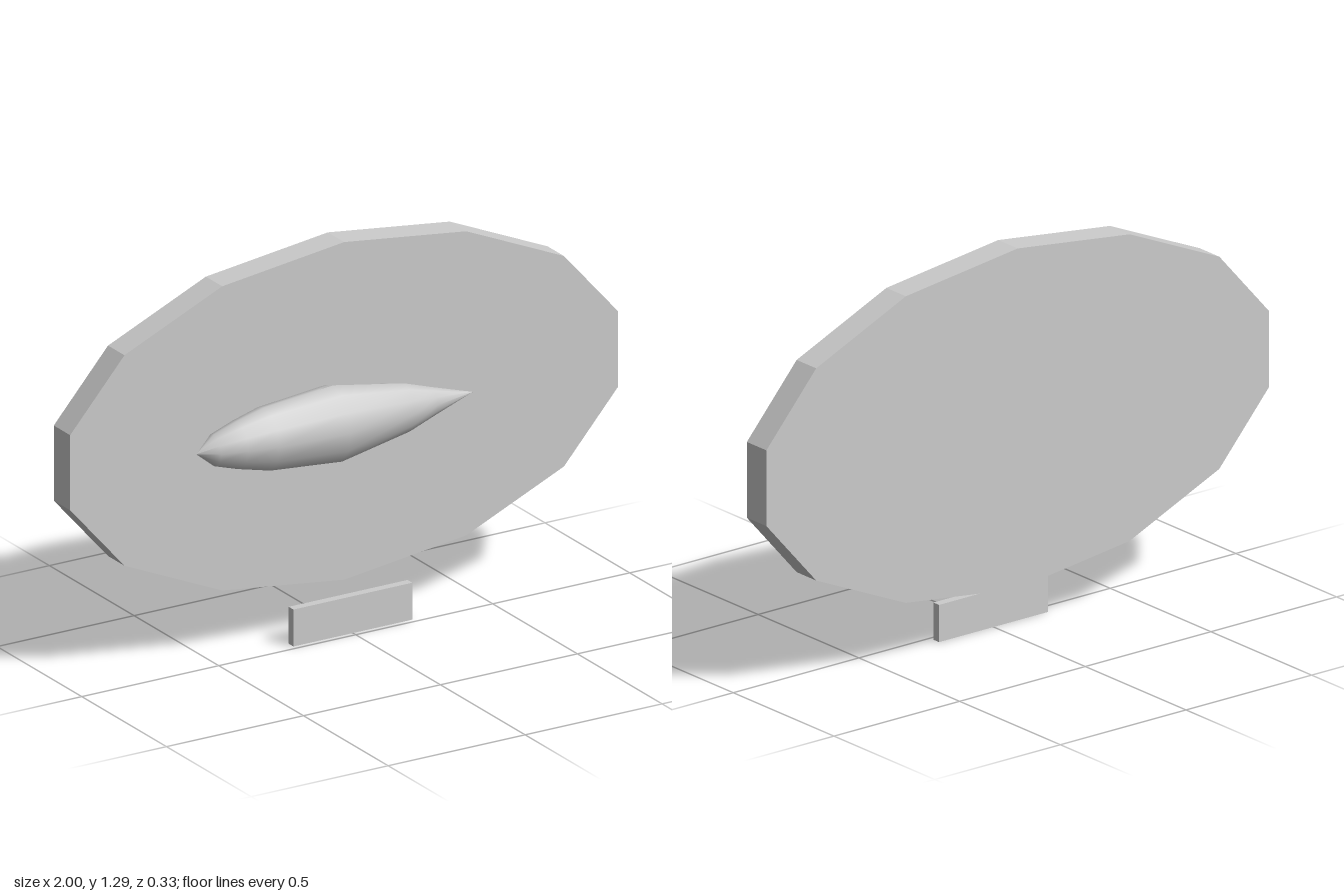
import * as THREE from 'three';

const grey = () => new THREE.MeshStandardMaterial({ color: 0xcccccc });

const polygon = (points) => new THREE.Shape(points.map(([x, y]) => new THREE.Vector2(x, y)));

function addMesh(group, name, geometry, material, x, y, z) {
  const mesh = new THREE.Mesh(geometry, material);
  mesh.name = name;
  mesh.position.set(x, y, z);
  group.add(mesh);
  return mesh;
}

export function createModel() {
  const group = new THREE.Group();
  group.name = 'mountedFish';

  // Oval backing board: a stretched 14-sided slab
  const sides = 14;
  const oval = [];
  for (let i = 0; i < sides; i++) {
    const a = (i / sides) * Math.PI * 2;
    oval.push([-1.026 * Math.sin(a), 0.563 * Math.cos(a)]);
  }
  const board = new THREE.ExtrudeGeometry(polygon(oval), { depth: 0.097, bevelEnabled: false });
  addMesh(group, 'backingBoard', board, grey(), 0, 0.724, -0.165);

  // Fish body: a lathe laid along x and narrowed in depth
  const profile = [
    [-0.62, 0], [-0.555, 0.053], [-0.47, 0.08], [-0.37, 0.105],
    [-0.12, 0.127], [0.14, 0.08], [0.24, 0.047], [0.39, 0],
  ].map(([x, r]) => new THREE.Vector2(r, x));
  const body = new THREE.LatheGeometry(profile, 12);
  body.rotateZ(-Math.PI / 2);
  body.scale(1, 1, 0.82);
  addMesh(group, 'fishBody', body, grey(), 0, 0.75, 0.061);

  // Flat fins in the body's middle plane
  const fins = {
    tailFin: [[0.37, 0], [0.62, -0.105], [0.56, 0], [0.62, 0.105]],
    dorsalFin: [[-0.25, 0.1], [0.085, 0.1], [0.005, 0.172]],
  };
  for (const [name, points] of Object.entries(fins)) {
    const material = grey();
    material.side = THREE.DoubleSide;
    addMesh(group, name, new THREE.ShapeGeometry(polygon(points)), material, 0, 0.75, 0.061);
  }

  // Name plate below the board
  addMesh(group, 'namePlate', new THREE.BoxGeometry(0.434, 0.123, 0.028), grey(), 0, 0.0615, -0.031);

  return group;
}
